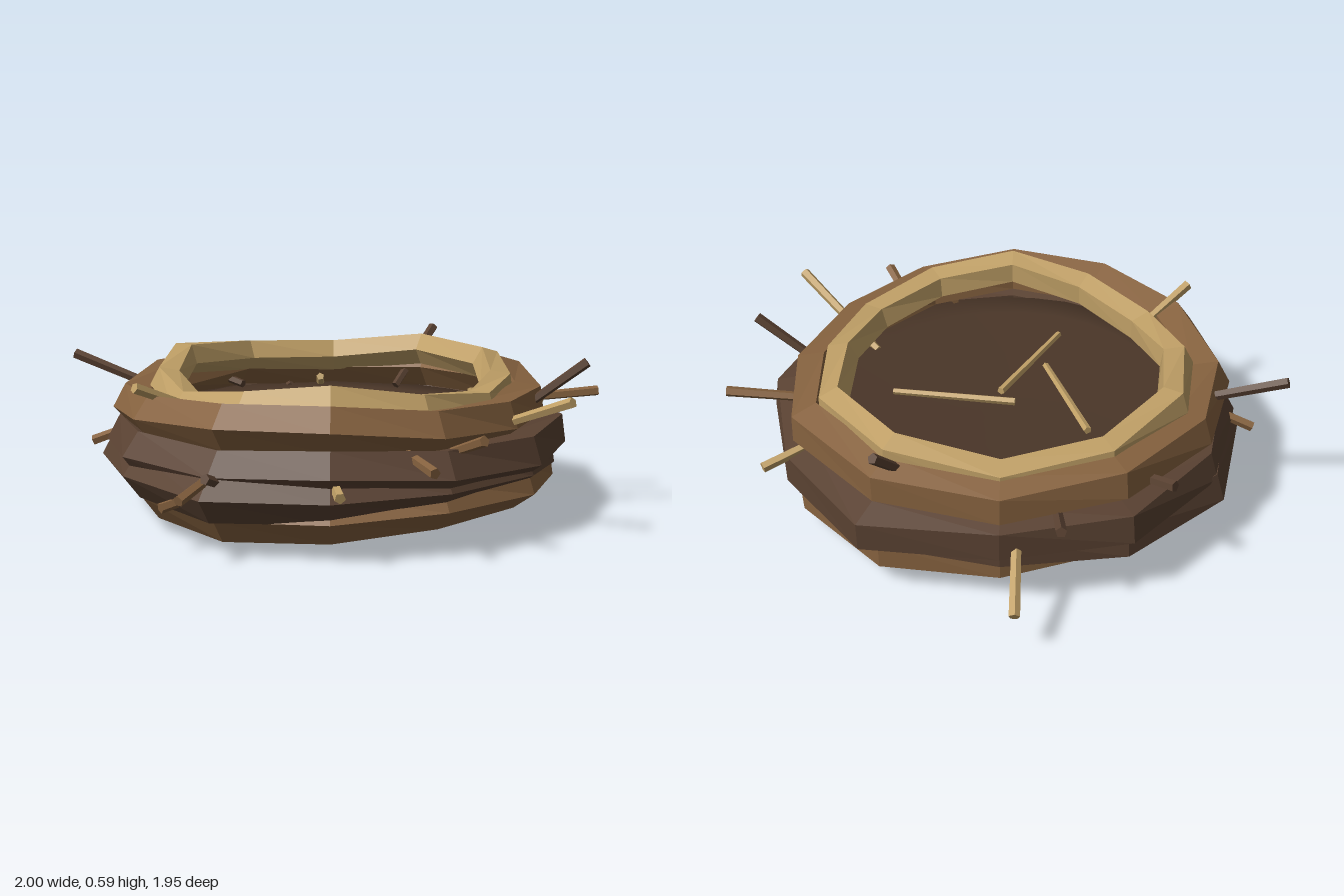
import * as THREE from 'three';

const mat = (color, flat = true) => new THREE.MeshStandardMaterial({ color, flatShading: flat, roughness: 0.9 });
const TAN = mat(0xbf9f66), MID = mat(0x86623f), DARK = mat(0x5a4232), DEEP = mat(0x4a3628, false);

// Closed, uneven five-sided hoop: radius and height are given every 30 degrees from +x towards +z
function hoopGeometry(radii, heights, size) {
  const n = radii.length, sides = 5, pos = [], idx = [];
  for (let i = 0; i < n; i++) {
    const a = (i / n) * Math.PI * 2;
    for (let k = 0; k < sides; k++) {
      const p = -Math.PI / 2 + 0.35 * Math.sin(a) + (k / sides) * Math.PI * 2;
      const r = radii[i] + size * Math.cos(p);
      pos.push(r * Math.cos(a), heights[i] + size * Math.sin(p), r * Math.sin(a));
      const k2 = (k + 1) % sides, j = (i + 1) % n;
      const A = i * sides + k, B = i * sides + k2, C = j * sides + k2, D = j * sides + k;
      idx.push(A, B, C, A, C, D);
    }
  }
  const g = new THREE.BufferGeometry();
  g.setAttribute('position', new THREE.Float32BufferAttribute(pos, 3));
  g.setIndex(idx);
  const flat = g.toNonIndexed();
  flat.computeVertexNormals();
  return flat;
}

// Straight twig between two points
function twig(name, from, to, radius, material) {
  const a = new THREE.Vector3(...from), b = new THREE.Vector3(...to);
  const dir = b.clone().sub(a);
  const m = new THREE.Mesh(new THREE.CylinderGeometry(radius * 0.8, radius, dir.length(), 5), material);
  m.name = name;
  m.position.copy(a).add(b).multiplyScalar(0.5);
  m.quaternion.setFromUnitVectors(new THREE.Vector3(0, 1, 0), dir.normalize());
  return m;
}

export function createModel() {
  const nest = new THREE.Group();
  nest.name = 'nest';

  // Solid cup with a flat base and a shallow floor
  const profile = [[0, 0], [0.48, 0], [0.64, 0.08], [0.71, 0.17], [0.73, 0.27], [0.71, 0.35], [0.6, 0.345], [0.3, 0.335], [0, 0.33]];
  const cup = new THREE.Mesh(new THREE.LatheGeometry(profile.map(p => new THREE.Vector2(...p)), 28), DEEP);
  cup.name = 'cup';
  cup.position.set(-0.03, 0, -0.05);
  nest.add(cup);

  // Woven hoops from the base up to the rim
  const hoops = [
    ['baseHoop', MID, 0.085,
      [0.75, 0.72, 0.71, 0.71, 0.69, 0.69, 0.70, 0.71, 0.74, 0.78, 0.77, 0.76],
      [0.18, 0.17, 0.14, 0.12, 0.13, 0.14, 0.15, 0.16, 0.15, 0.13, 0.13, 0.17]],
    ['lowerHoop', DARK, 0.09,
      [0.74, 0.73, 0.74, 0.79, 0.76, 0.78, 0.82, 0.80, 0.77, 0.80, 0.78, 0.76],
      [0.25, 0.24, 0.22, 0.21, 0.22, 0.22, 0.21, 0.21, 0.23, 0.24, 0.21, 0.22]],
    ['middleHoop', DARK, 0.09,
      [0.77, 0.75, 0.73, 0.74, 0.76, 0.76, 0.79, 0.83, 0.82, 0.89, 0.82, 0.80],
      [0.29, 0.29, 0.30, 0.28, 0.29, 0.28, 0.29, 0.29, 0.30, 0.29, 0.28, 0.30]],
    ['upperHoop', MID, 0.085,
      [0.68, 0.69, 0.70, 0.71, 0.72, 0.74, 0.76, 0.78, 0.79, 0.80, 0.79, 0.72],
      [0.41, 0.42, 0.45, 0.44, 0.42, 0.40, 0.43, 0.44, 0.42, 0.43, 0.44, 0.41]],
    ['rimHoop', TAN, 0.065,
      [0.61, 0.61, 0.60, 0.58, 0.59, 0.62, 0.68, 0.71, 0.73, 0.74, 0.70, 0.62],
      [0.45, 0.48, 0.52, 0.48, 0.44, 0.48, 0.52, 0.49, 0.47, 0.51, 0.50, 0.47]],
  ];
  for (const [name, material, size, radii, heights] of hoops) {
    const m = new THREE.Mesh(hoopGeometry(radii, heights, size), material);
    m.name = name;
    nest.add(m);
  }

  // Twigs poking out through the wall: outer end, inner end
  const loose = [
    [[-0.99, 0.55, 0.29], [-0.53, 0.37, 0.13], DARK],
    [[0.99, 0.51, 0.06], [0.57, 0.34, -0.04], TAN],
    [[0.86, 0.575, -0.39], [0.6, 0.36, -0.28], DARK],
    [[-0.03, 0.58, -0.89], [-0.08, 0.36, -0.65], DARK],
    [[-0.59, 0.17, -0.91], [-0.37, 0.39, -0.53], TAN],
    [[0.48, 0.325, -0.86], [0.31, 0.39, -0.54], TAN],
    [[-0.01, 0.235, 0.98], [0, 0.31, 0.7], MID],
    [[-0.37, 0.54, 0.73], [-0.28, 0.43, 0.48], TAN],
    [[0.8, 0.42, -0.66], [0.43, 0.38, -0.43], MID],
    [[-0.64, 0.4, -0.7], [-0.5, 0.34, -0.5], DARK],
    [[0.82, 0.42, 0.4], [0.55, 0.3, 0.25], MID],
    [[0.72, 0.33, 0.56], [0.5, 0.36, 0.4], MID],
    [[0.46, 0.25, 0.73], [0.35, 0.28, 0.6], TAN],
    [[-0.18, 0.16, 0.85], [-0.08, 0.2, 0.65], MID],
    [[0.02, 0.29, 0.87], [0.04, 0.2, 0.65], DARK],
    [[-0.83, 0.24, 0.39], [-0.52, 0.37, 0.27], MID],
    [[-0.86, 0.43, -0.32], [-0.58, 0.38, -0.27], DARK],
  ];
  loose.forEach(([a, b, m], i) => nest.add(twig('wallTwig' + (i + 1), a, b, 0.02, m)));

  // Straws lying on the floor
  const straws = [
    [[-0.4, 0.355, -0.1], [-0.05, 0.355, 0.19]],
    [[-0.08, 0.355, -0.08], [0.34, 0.355, -0.26]],
    [[0, 0.355, -0.05], [0.02, 0.355, 0.41]],
  ];
  straws.forEach(([a, b], i) => nest.add(twig('floorStraw' + (i + 1), a, b, 0.015, TAN)));

  return nest;
}
